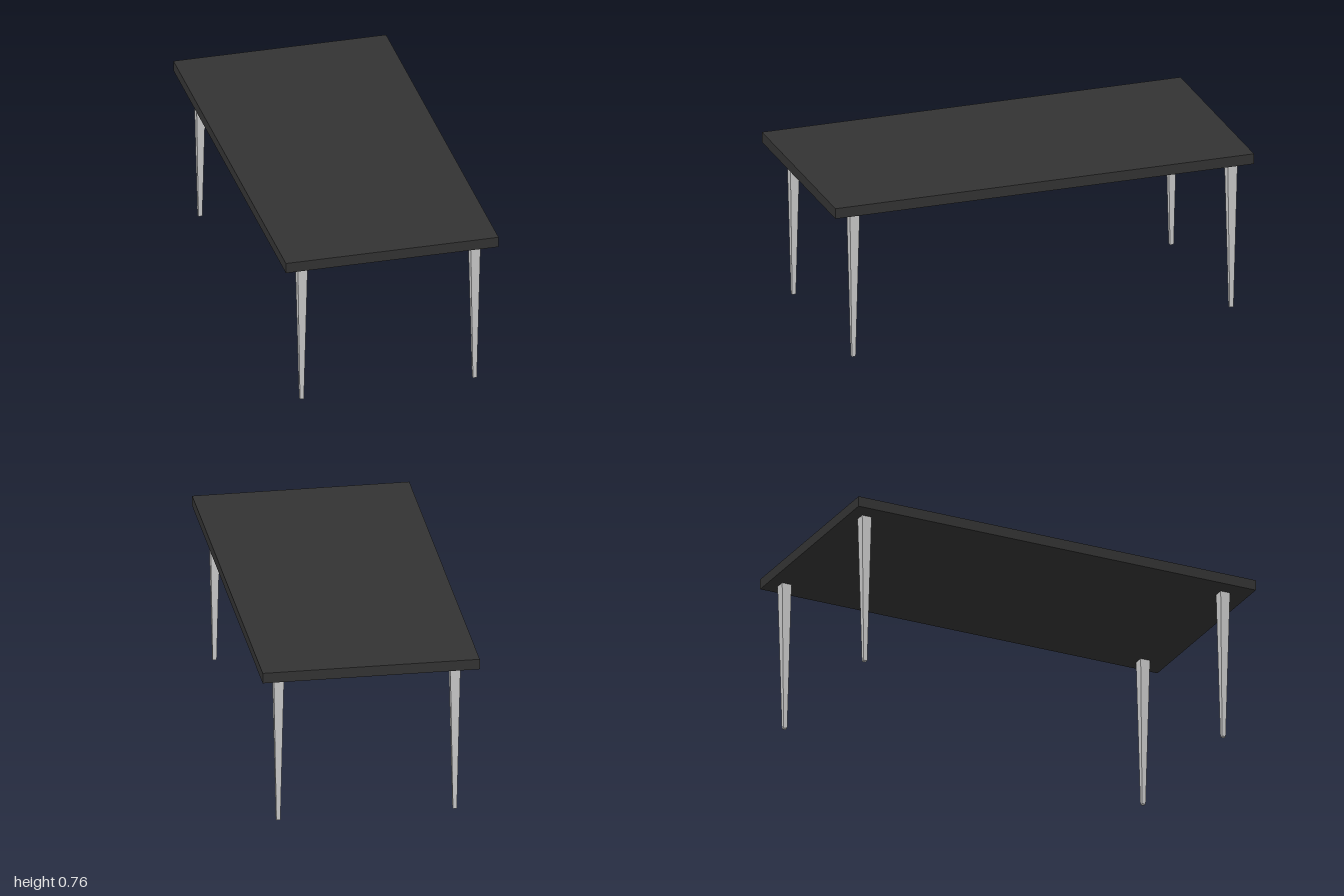
import * as THREE from 'three';

const TOP_Y = 0.76, UNDER_Y = 0.711;

// Square tapered post standing on y = 0
function taperedLeg(topWidth, footWidth, height) {
  const g = new THREE.CylinderGeometry(topWidth / Math.SQRT2, footWidth / Math.SQRT2, height, 4);
  g.rotateY(Math.PI / 4);
  g.translate(0, height / 2, 0);
  return g;
}

export function createModel() {
  const table = new THREE.Group();
  table.name = 'table';

  const darkMaterial = new THREE.MeshStandardMaterial({ color: 0x333333 });
  const legMaterial = new THREE.MeshStandardMaterial({ color: 0xcccccc, flatShading: true });

  // Slab top
  const top = new THREE.Mesh(new THREE.BoxGeometry(0.99, TOP_Y - UNDER_Y, 2), darkMaterial);
  top.name = 'tableTop';
  top.position.y = (TOP_Y + UNDER_Y) / 2;
  table.add(top);

  // Four legs, set slightly off centre under the slab
  const legGeometry = taperedLeg(0.047, 0.018, UNDER_Y);
  for (const [side, x] of [['Right', -0.393], ['Left', 0.412]]) {
    for (const [end, z] of [['front', 0.886], ['back', -0.919]]) {
      const leg = new THREE.Mesh(legGeometry, legMaterial);
      leg.name = `${end}${side}Leg`;
      leg.position.set(x, 0, z);
      table.add(leg);
    }
  }
  return table;
}
